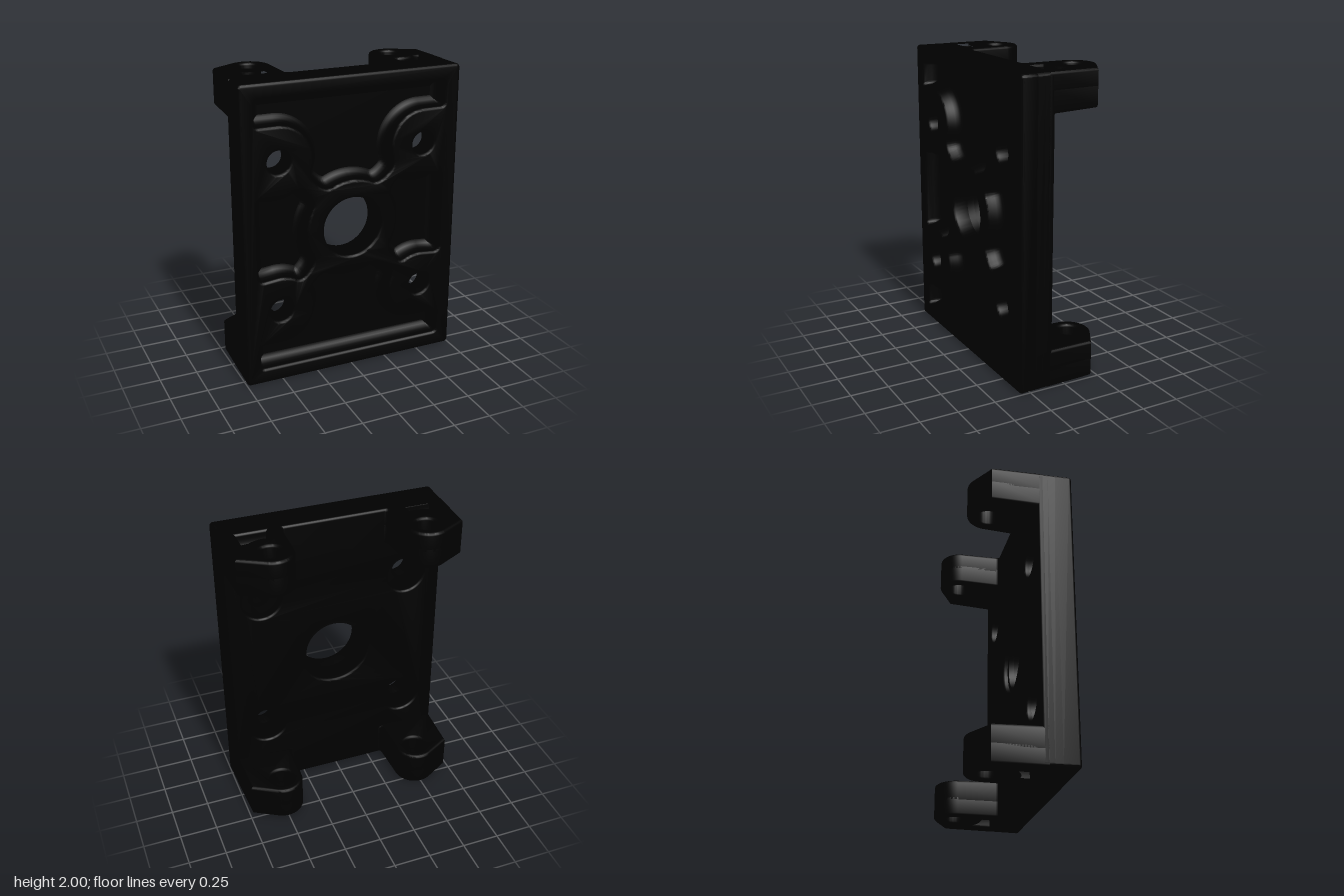
import * as THREE from 'three';
import { toCreasedNormals } from 'three/addons/utils/BufferGeometryUtils.js';

const material = new THREE.MeshStandardMaterial({ color: 0x000000 });
const openMaterial = new THREE.MeshStandardMaterial({ color: 0x000000, side: THREE.DoubleSide });
const W = 0.75, H = 2, FRONT = 0.32, FLOOR = 0.21, BACK = 0.09, EDGE = 0.018, RECESS = 0.09;
const rad = THREE.MathUtils.degToRad;

function circle(x, y, r) {
  return new THREE.Path().absarc(x, y, r, 0, Math.PI * 2);
}

// Copy of a path, mirrored left to right and/or upside down
function mirrored(path, sx, flipY = false) {
  return new THREE.Path(path.getPoints(16).map(p => new THREE.Vector2(p.x * sx, flipY ? H - p.y : p.y)));
}

function roundedRect(x0, y0, x1, y1, r) {
  const s = new THREE.Shape();
  s.absarc(x1 - r, y0 + r, r, -Math.PI / 2, 0);
  s.absarc(x1 - r, y1 - r, r, 0, Math.PI / 2);
  s.absarc(x0 + r, y1 - r, r, Math.PI / 2, Math.PI);
  s.absarc(x0 + r, y0 + r, r, Math.PI, Math.PI * 1.5);
  s.closePath();
  return s;
}

function moveVertices(geometry, rule) {
  const p = geometry.attributes.position, v = new THREE.Vector3();
  for (let i = 0; i < p.count; i++) {
    rule(v.fromBufferAttribute(p, i));
    p.setXYZ(i, v.x, v.y, v.z);
  }
}

function addMesh(group, name, geometry, mat = material) {
  const mesh = new THREE.Mesh(toCreasedNormals(geometry, 0.6), mat);
  mesh.name = name;
  group.add(mesh);
}

// Extrusion with rounded edges that stays inside its outline and z0..z1
function roundedExtrude(shape, z0, z1, bevel) {
  const geometry = new THREE.ExtrudeGeometry(shape, {
    depth: z1 - z0 - 2 * bevel, curveSegments: 24, bevelEnabled: bevel > 0,
    bevelThickness: bevel, bevelSize: bevel, bevelOffset: -bevel, bevelSegments: 3,
  });
  return geometry.translate(0, 0, z0 + bevel);
}

// Concave fillet running round a pocket, from its wall at rimZ to its floor at floorZ
function pocketFillet(path, rimZ, floorZ, width) {
  const all = path.getPoints();
  const pts = all.filter((p, i) => p.distanceTo(all[(i + 1) % all.length]) > 1e-4);
  const n = pts.length, steps = 6, inward = THREE.ShapeUtils.isClockWise(pts) ? -1 : 1;
  const position = [], index = [];
  for (let j = 0; j <= steps; j++) {
    const a = (j / steps) * Math.PI / 2;
    const offset = width * (1 - Math.cos(a)) * inward;
    const z = rimZ + (floorZ - rimZ) * Math.sin(a);
    pts.forEach((p, i) => {
      const t = pts[(i + 1) % n].clone().sub(pts[(i + n - 1) % n]).normalize();
      position.push(p.x - t.y * offset, p.y + t.x * offset, z);
      if (j === steps) return;
      const k = j * n + i, next = j * n + (i + 1) % n;
      index.push(k, next, k + n, next, next + n, k + n);
    });
  }
  const geometry = new THREE.BufferGeometry();
  geometry.setAttribute('position', new THREE.Float32BufferAttribute(position, 3));
  geometry.setIndex(index);
  geometry.computeVertexNormals();
  return geometry;
}

// Pocket across the top of the front face, bounded by bosses and diagonal ribs
function endPocket() {
  const p = new THREE.Path();
  p.moveTo(-0.65, 1.87);
  p.lineTo(-0.65, 1.76);
  p.quadraticCurveTo(-0.65, 1.73, -0.62, 1.73);
  p.lineTo(-0.5, 1.73);
  p.absarc(-0.5, 1.5, 0.23, rad(90), rad(-18), true);
  p.quadraticCurveTo(-0.3, 1.375, -0.26, 1.335);
  p.quadraticCurveTo(-0.19, 1.265, -0.14, 1.288);
  p.absarc(0, 1, 0.32, rad(116), rad(64), true);
  p.quadraticCurveTo(0.19, 1.265, 0.26, 1.335);
  p.quadraticCurveTo(0.3, 1.375, 0.281, 1.429);
  p.absarc(0.5, 1.5, 0.23, rad(198), rad(90), true);
  p.lineTo(0.62, 1.73);
  p.quadraticCurveTo(0.65, 1.73, 0.65, 1.76);
  p.lineTo(0.65, 1.87);
  p.quadraticCurveTo(0.65, 1.9, 0.62, 1.9);
  p.lineTo(-0.62, 1.9);
  p.quadraticCurveTo(-0.65, 1.9, -0.65, 1.87);
  return p;
}

// Pocket at the side of the front face, between two corner bosses
function sidePocket() {
  const p = new THREE.Path();
  p.moveTo(-0.65, 0.76);
  p.lineTo(-0.65, 1.24);
  p.quadraticCurveTo(-0.65, 1.28, -0.61, 1.28);
  p.absarc(-0.5, 1.5, 0.23, rad(265), rad(298), false);
  p.quadraticCurveTo(-0.355, 1.318, -0.32, 1.275);
  p.quadraticCurveTo(-0.25, 1.205, -0.283, 1.15);
  p.absarc(0, 1, 0.32, rad(152), rad(208), false);
  p.quadraticCurveTo(-0.25, 0.795, -0.32, 0.725);
  p.quadraticCurveTo(-0.355, 0.682, -0.392, 0.703);
  p.absarc(-0.5, 0.5, 0.23, rad(62), rad(95), false);
  p.lineTo(-0.61, 0.72);
  p.quadraticCurveTo(-0.65, 0.72, -0.65, 0.76);
  return p;
}

// One slice of the plate, with its own hole sizes
function plateLayer(group, name, z0, z1, centreR, cornerR, bevel = 0, pockets = []) {
  const shape = roundedRect(-W, 0, W, H, 0.025);
  shape.holes.push(circle(0, 1, centreR));
  for (const x of [-0.5, 0.5]) for (const y of [0.5, 1.5]) shape.holes.push(circle(x, y, cornerR));
  shape.holes.push(...pockets);
  const geometry = roundedExtrude(shape, z0, z1, bevel);
  // slight draft on the long sides
  moveVertices(geometry, v => {
    if (Math.abs(v.x) > 0.7) v.x -= Math.sign(v.x) * 0.04 * (FRONT - v.z);
  });
  addMesh(group, name, geometry);
}

// Lug outline and recess, drawn with the shape's y pointing to the back
function lugOutline() {
  const s = new THREE.Shape();
  s.moveTo(0.742, -0.13);
  s.lineTo(0.729, 0.209);
  s.absarc(0.5, 0.18, 0.14, rad(60), rad(180), false);
  s.lineTo(0.353, -0.065);
  s.quadraticCurveTo(0.353, -BACK, 0.33, -BACK);
  s.lineTo(0.33, -0.13);
  s.closePath();
  return s;
}

function lugRecess() {
  const p = new THREE.Path();
  p.moveTo(0.45, -0.09);
  p.lineTo(0.64, -0.09);
  p.lineTo(0.64, 0.035);
  p.lineTo(0.605, 0.035);
  p.absarc(0.5, 0.18, 0.18, rad(-54), rad(-100), true);
  p.lineTo(0.45, -0.005);
  p.closePath();
  return p;
}

function lug(side, top) {
  const group = new THREE.Group();
  group.name = (top ? 'upper' : 'lower') + (side > 0 ? 'Left' : 'Right') + 'Lug';
  const recess = mirrored(lugRecess(), side);
  const place = geometry => geometry.rotateX(-Math.PI / 2);
  // the two slices overlap so that only the outer edges show as rounded
  const slices = [['lugBody', RECESS, 0.248, false], ['lugRecessedFace', 0, RECESS + 0.05, true]];
  for (const [name, a, b, recessed] of slices) {
    const shape = new THREE.Shape(mirrored(lugOutline(), side).getPoints());
    shape.holes.push(circle(0.5 * side, 0.18, 0.077));
    if (recessed) shape.holes.push(recess);
    const geometry = place(roundedExtrude(shape, top ? H - b : a, top ? H - a : b, EDGE));
    // slight draft on the inward face
    moveVertices(geometry, v => {
      if (Math.abs(v.y - 1) < 0.8) v.y += (top ? 1 : -1) * 0.025 * (BACK - v.z);
    });
    addMesh(group, name, geometry);
  }
  const fillet = pocketFillet(recess, top ? H - EDGE : EDGE, top ? H - RECESS : RECESS, 0.025);
  addMesh(group, 'recessFillet', place(fillet), openMaterial);
  return group;
}

export function createModel() {
  const model = new THREE.Group();
  model.name = 'mountingBracket';

  // Plate: pocketed front, plain core, counterbored back
  const plate = new THREE.Group();
  plate.name = 'plate';
  const end = endPocket(), side = sidePocket();
  const pockets = [mirrored(end, 1), mirrored(end, 1, true), mirrored(side, 1), mirrored(side, -1)];
  plateLayer(plate, 'pocketedFront', FLOOR - EDGE, FRONT, 0.2, 0.075, EDGE, pockets);
  plateLayer(plate, 'plateCore', 0.16, FLOOR, 0.2, 0.075);
  plateLayer(plate, 'cornerCounterbores', 0.125, 0.16, 0.2, 0.13);
  plateLayer(plate, 'counterboredBack', BACK, 0.145, 0.235, 0.13, 0.015);
  for (const p of pockets) addMesh(plate, 'pocketFillet', pocketFillet(p, FRONT - EDGE, FLOOR, 0.055), openMaterial);
  model.add(plate);

  // Four lugs reaching backwards
  for (const s of [-1, 1]) for (const top of [false, true]) model.add(lug(s, top));
  return model;
}
